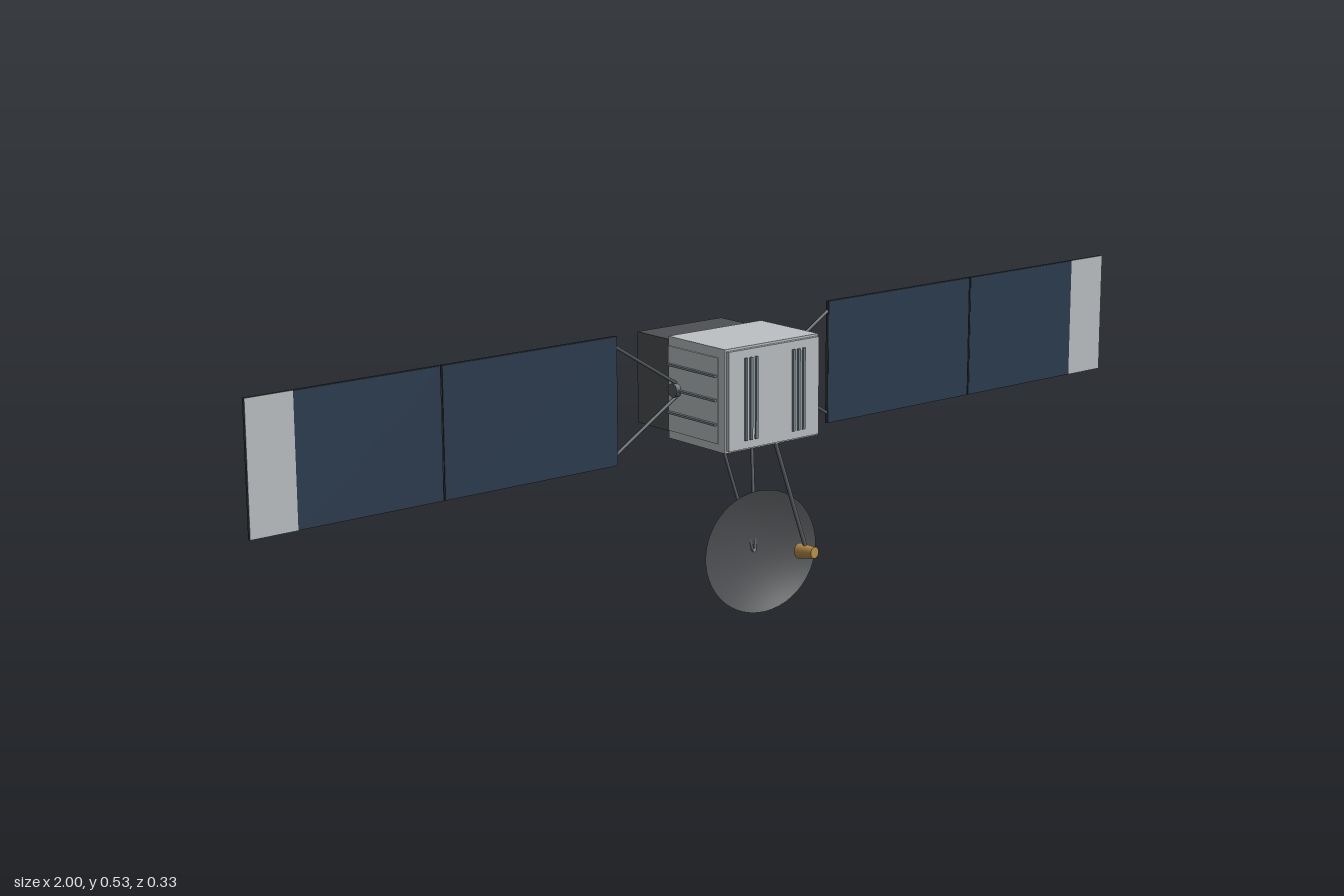
import * as THREE from 'three';

const mat = (name, color, side = THREE.FrontSide) => {
  const m = new THREE.MeshStandardMaterial({ color, side });
  m.name = name;
  return m;
};

export function createModel() {
  const light = mat('light grey', 0xbcc1c4);
  const blue = mat('solar blue', 0x2c3c50);
  const backing = mat('panel backing grey', 0x767c80);
  const dark = mat('dark grey', 0x4e5054);
  const dishMat = mat('dish grey', 0x4b4d50, THREE.DoubleSide);
  const frameMat = mat('frame charcoal', 0x33373a);
  const strutMat = mat('strut grey', 0x565b60);
  const slate = mat('slate grey', 0x75818a);
  const gold = mat('gold', 0xb48c48);

  const model = new THREE.Group();
  model.name = 'satellite';
  const CY = 0.411, PZ = -0.0215;

  const add = (name, geo, material, x = 0, y = 0, z = 0, parent = model) => {
    const mesh = new THREE.Mesh(geo, material);
    mesh.name = name;
    mesh.position.set(x, y, z);
    parent.add(mesh);
    return mesh;
  };
  // Box given by its lower and upper limits
  const box = (name, material, [x0, x1], [y0, y1], [z0, z1], parent) =>
    add(name, new THREE.BoxGeometry(x1 - x0, y1 - y0, z1 - z0), material,
      (x0 + x1) / 2, (y0 + y1) / 2, (z0 + z1) / 2, parent);
  // Round rod between two points
  const rod = (name, a, b, r, material = strutMat, r2 = r, sides = 8) => {
    const A = new THREE.Vector3(...a), B = new THREE.Vector3(...b);
    const mesh = add(name, new THREE.CylinderGeometry(r2, r, A.distanceTo(B), sides), material);
    mesh.position.copy(A).lerp(B, 0.5);
    mesh.quaternion.setFromUnitVectors(new THREE.Vector3(0, 1, 0), B.sub(A).normalize());
    return mesh;
  };

  // Main bus with a front cover plate
  box('body', light, [-0.11, 0.11], [0.317, 0.505], [-0.048, 0.109]);
  box('frontPlate', light, [-0.106, 0.106], [0.321, 0.501], [0.109, 0.116]);

  // Rear module and its engine ring
  box('rearModule', dark, [-0.1, 0.1], [0.326, 0.496], [-0.15, -0.048]);
  const ringProfile = [[0.073, 0], [0.073, 0.013], [0.066, 0.013], [0.062, 0.008],
    [0.055, 0.008], [0.052, 0.013], [0.046, 0.013], [0.044, 0.002]];
  const ringShape = ringProfile.map(([r, h]) => new THREE.Vector2(r, h));
  for (let i = 0; i < ringShape.length - 1; i++) {
    const geo = new THREE.LatheGeometry([ringShape[i], ringShape[i + 1]], 40);
    geo.rotateX(-Math.PI / 2);
    add('rearRing', geo, i === 3 ? dark : slate, 0, CY, -0.15);
  }
  const lens = new THREE.CircleGeometry(0.045, 40);
  lens.rotateY(Math.PI);
  add('rearRingFloor', lens, strutMat, 0, CY, -0.152);

  for (const s of [-1, 1]) {
    const span = (a, b) => (s > 0 ? [a, b] : [-b, -a]);

    // Vertical louvres on the front
    for (const x of [0.044, 0.056, 0.068])
      box('frontLouvre', slate, span(x - 0.0025, x + 0.0025), [0.336, 0.486], [0.116, 0.12]);

    // Raised side plate with horizontal fins
    box('sidePlate', light, span(0.11, 0.113), [0.332, 0.488], [-0.045, 0.092]);
    for (const y of [0.367, CY, 0.455])
      box('sideFin', slate, span(0.113, 0.119), [y - 0.002, y + 0.002], [-0.044, 0.09]);

    // Solar array hub and yoke
    rod('arrayHub', [s * 0.108, CY, PZ], [s * 0.123, CY, PZ], 0.0135, strutMat, 0.0135, 8);
    for (const v of [-1, 1]) {
      rod('yokeArm', [s * 0.115, CY + v * 0.013, PZ], [s * 0.252, CY + v * 0.098, PZ], 0.0032);
    }

    // Solar wing: two framed segments
    const wing = new THREE.Group();
    wing.name = s > 0 ? 'leftSolarWing' : 'rightSolarWing';
    model.add(wing);
    for (const [a, b] of [[0.25, 0.6205], [0.6235, 1]]) {
      box('panelFrame', frameMat, span(a, b), [0.294, 0.528], [PZ - 0.003, PZ + 0.003], wing);
      box('panelBacking', backing, span(a + 0.004, b - 0.004), [0.298, 0.524],
        [PZ - 0.0036, PZ - 0.003], wing);
      const cellEnd = Math.min(b, 0.91);
      box('solarCells', blue, span(a + 0.001, cellEnd), [0.295, 0.527],
        [PZ + 0.003, PZ + 0.0036], wing);
      if (b > cellEnd)
        box('panelTip', light, span(cellEnd, b), [0.294, 0.528], [PZ + 0.003, PZ + 0.0036], wing);

      // Dashed stitching on the back
      for (const y of [CY - 0.075, CY + 0.075])
        for (let x = a + 0.012; x < b - 0.016; x += 0.018)
          box('backDash', strutMat, span(x, x + 0.011), [y - 0.0015, y + 0.0015],
            [PZ - 0.004, PZ - 0.0036], wing);
    }
    box('panelHinge', frameMat, span(0.6205, 0.6235), [0.33, 0.49], [PZ - 0.002, PZ + 0.001], wing);

    // Dish support strut
    rod('dishStrut', [s * 0.038, 0.32, 0.009], [s * 0.003, 0.11, 0.06], 0.0033);
  }

  // Shallow oval dish, tipped slightly upward
  const R = 0.132, depth = 0.022, profile = [];
  for (let i = 0; i <= 10; i++) {
    const t = i / 10;
    profile.push(new THREE.Vector2(R * t, depth * (t * t - 1)));
  }
  const dishGeo = new THREE.LatheGeometry(profile, 48);
  dishGeo.rotateX(Math.PI / 2);
  dishGeo.scale(1, 0.112 / R, 1);
  add('dish', dishGeo, dishMat, 0, 0.1115, 0.0815).rotation.x = -0.103;
  rod('dishCentre', [0, 0.109, 0.059], [0, 0.1095, 0.063], 0.004, slate, 0.004, 12);

  // Feed boom and horn
  rod('feedBoom', [0.012, 0.32, 0.104], [0.054, 0.118, 0.143], 0.0038);
  rod('feedHorn', [0.052, 0.113, 0.127], [0.056, 0.1165, 0.164], 0.0145, gold, 0.0105, 20);

  return model;
}
